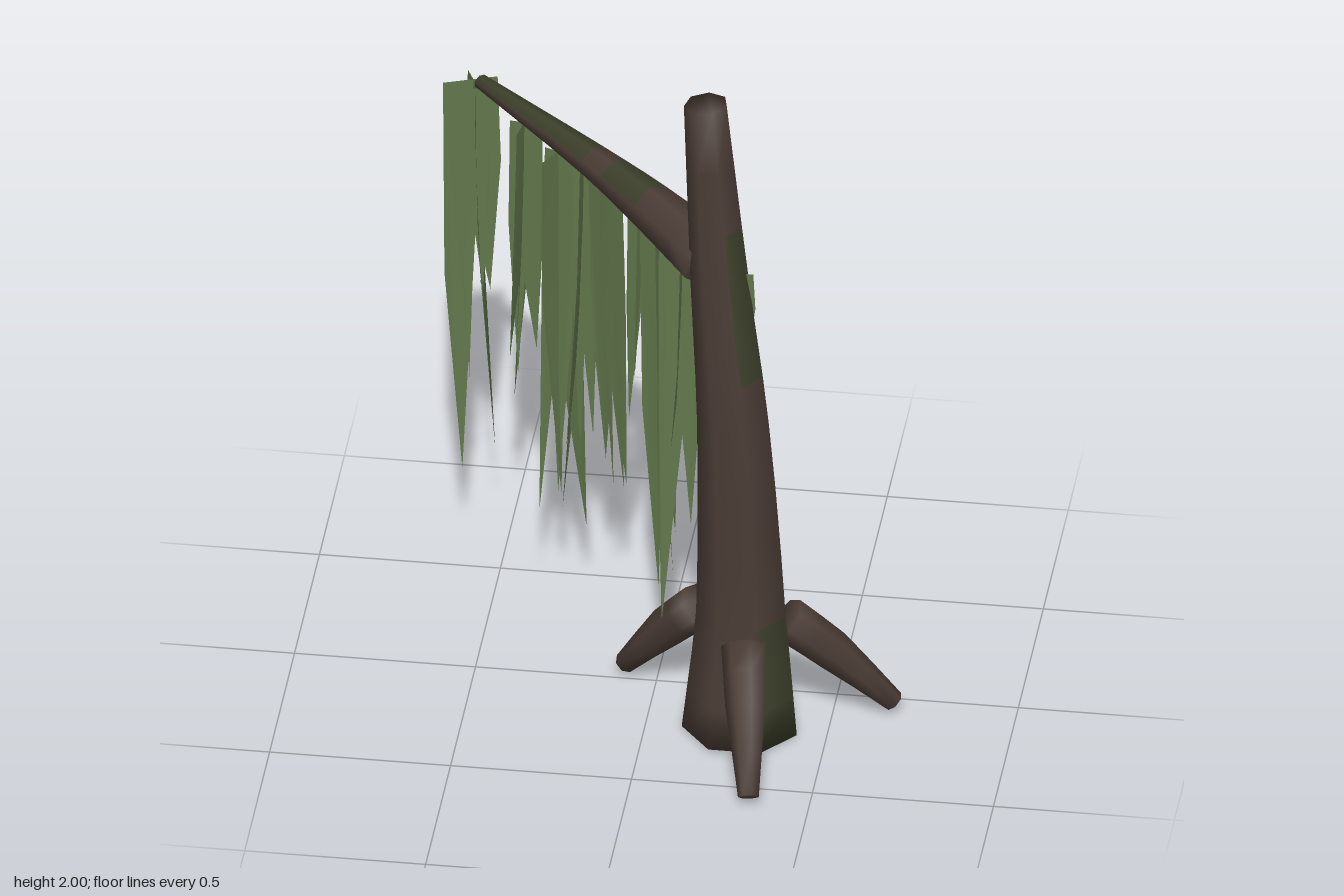
import * as THREE from 'three';

const bark = new THREE.MeshStandardMaterial({ color: 0x4a3c35 });
bark.name = 'bark';
const mossyBark = new THREE.MeshStandardMaterial({ color: 0x3d402b });
mossyBark.name = 'mossyBark';
const moss = new THREE.MeshStandardMaterial({ color: 0x61764b, side: THREE.DoubleSide });
moss.name = 'hangingMoss';

const SIDES = 7;
const up = new THREE.Vector3(0, 1, 0);
const forward = new THREE.Vector3(0, 0, 1);

// Tapered limb lofted along [x, y, z, radius] stations; isMossy picks faces for the second material
function limb(name, stations, segs, ref, phase, isMossy) {
  const curve = new THREE.CatmullRomCurve3(stations.map(s => new THREE.Vector3(s[0], s[1], s[2])));
  const pos = [], plain = [], mossy = [];
  for (let i = 0; i <= segs; i++) {
    const f = i / segs, k = f * (stations.length - 1);
    const a = Math.min(Math.floor(k), stations.length - 2);
    const r = THREE.MathUtils.lerp(stations[a][3], stations[a + 1][3], k - a);
    const c = curve.getPoint(f), t = curve.getTangent(f);
    const u = t.clone().cross(ref).normalize(), v = u.clone().cross(t);
    for (let j = 0; j < SIDES; j++) {
      const ang = phase + j / SIDES * Math.PI * 2;
      const p = c.clone().addScaledVector(u, r * Math.cos(ang)).addScaledVector(v, r * Math.sin(ang));
      pos.push(p.x, p.y, p.z);
    }
  }
  for (let i = 0; i < segs; i++) {
    for (let j = 0; j < SIDES; j++) {
      const a = i * SIDES + j, b = i * SIDES + (j + 1) % SIDES;
      const c = a + SIDES, d = b + SIDES;
      (isMossy(i, j) ? mossy : plain).push(a, c, b, b, c, d);
    }
  }
  // End caps share the ring vertices, so they shade softly into the sides
  const last = segs * SIDES;
  for (let j = 1; j < SIDES - 1; j++) {
    plain.push(0, j, j + 1, last, last + j + 1, last + j);
  }
  const g = new THREE.BufferGeometry();
  g.setAttribute('position', new THREE.Float32BufferAttribute(pos, 3));
  g.setIndex([...plain, ...mossy]);
  g.addGroup(0, plain.length, 0);
  g.addGroup(plain.length, mossy.length, 1);
  g.computeVertexNormals();
  const mesh = new THREE.Mesh(g, [bark, mossyBark]);
  mesh.name = name;
  return mesh;
}

// Ragged sheet of moss with two long points, drifting out of its plane towards the bottom
function mossSheet(x, z, degrees, width, yFirst, ySecond, sway) {
  const top = 1.5 - 0.08 * x;
  const w = width / 2;
  const s = new THREE.Shape();
  s.moveTo(-w, top);
  s.lineTo(-w, top - (top - yFirst) * 0.5);
  s.lineTo(-w * 0.55, yFirst);
  s.lineTo(w * 0.05, top - (top - Math.max(yFirst, ySecond)) * 0.7);
  s.lineTo(w * 0.5, ySecond);
  s.lineTo(w * 0.9, top - (top - ySecond) * 0.4);
  s.lineTo(w * 0.8, top);
  const g = new THREE.ShapeGeometry(s);
  const p = g.attributes.position;
  for (let i = 0; i < p.count; i++) p.setZ(i, sway * (top - p.getY(i)) ** 2);
  g.computeVertexNormals();
  const mesh = new THREE.Mesh(g, moss);
  mesh.name = 'mossSheet';
  mesh.position.set(x, 0, z);
  mesh.rotation.y = -THREE.MathUtils.degToRad(degrees);
  return mesh;
}

export function createModel() {
  const model = new THREE.Group();
  model.name = 'mossyDeadTree';

  // Leaning trunk with mossy patches on its outer side
  model.add(limb('trunk', [
    [0.26, 0.01, 0.19, 0.163],
    [0.262, 0.38, 0.18, 0.127],
    [0.24, 1.0, 0.185, 0.102],
    [0.202, 1.43, 0.168, 0.084],
    [0.157, 1.997, 0.145, 0.061],
  ], 12, forward, -Math.PI / 2,
  (i, j) => (j === 1 && i % 5 > 2) || (j === 2 && i % 7 < 3)));

  // Single long branch, mossy on top
  model.add(limb('branch', [
    [0.165, 1.49, 0.135, 0.089],
    [-0.02, 1.53, -0.035, 0.069],
    [-0.2, 1.554, -0.2, 0.049],
    [-0.56, 1.568, -0.535, 0.021],
  ], 9, up, 0,
  (i, j) => (j === 1 || j === 2) && i > 2 && i % 4 !== 1));

  // Three arched prop roots, each from [x, z] on the trunk to [x, z] on the ground
  const roots = new THREE.Group();
  roots.name = 'roots';
  [
    [0.38, 0.155, 0.665, 0.07],
    [0.285, 0.305, 0.338, 0.6],
    [0.14, 0.115, -0.09, -0.02],
  ].forEach(([x0, z0, x1, z1]) => {
    const { lerp } = THREE.MathUtils;
    roots.add(limb('root', [
      [x0, 0.342, z0, 0.064],
      [lerp(x0, x1, 0.42), 0.228, lerp(z0, z1, 0.42), 0.058],
      [x1, 0.043, z1, 0.03],
    ], 4, up, 0, () => false));
  });
  model.add(roots);

  // Hanging moss, two crossing sheets per clump: x, z, angle, width, long tip, short tip
  const curtain = new THREE.Group();
  curtain.name = 'mossCurtain';
  [
    [-0.585, -0.575, -20, 0.17, 0.33, 0.87],
    [-0.575, -0.53, 80, 0.13, 0.35, 0.9],
    [-0.42, -0.4, 100, 0.17, 0.6, 0.78],
    [-0.31, -0.28, 120, 0.18, 0.3, 0.45],
    [-0.235, -0.25, 95, 0.12, 0.36, 0.6],
    [-0.16, -0.175, 35, 0.14, 0.57, 0.51],
    [-0.05, -0.08, 30, 0.1, 0.81, 1.05],
    [0.01, 0.02, 20, 0.12, 0.28, 0.5],
    [0.08, 0.04, 10, 0.14, 0.27, 0.58],
    [0.25, 0.19, 0, 0.11, 1.3, 1.2],
  ].forEach(([x, z, angle, width, long, short], i) => {
    const sway = i % 2 ? -0.04 : 0.05;
    curtain.add(mossSheet(x, z, angle, width, long, short, sway));
    curtain.add(mossSheet(x, z, angle + 85, width * 0.6, short, (long + short) / 2, sway));
  });
  model.add(curtain);

  return model;
}
